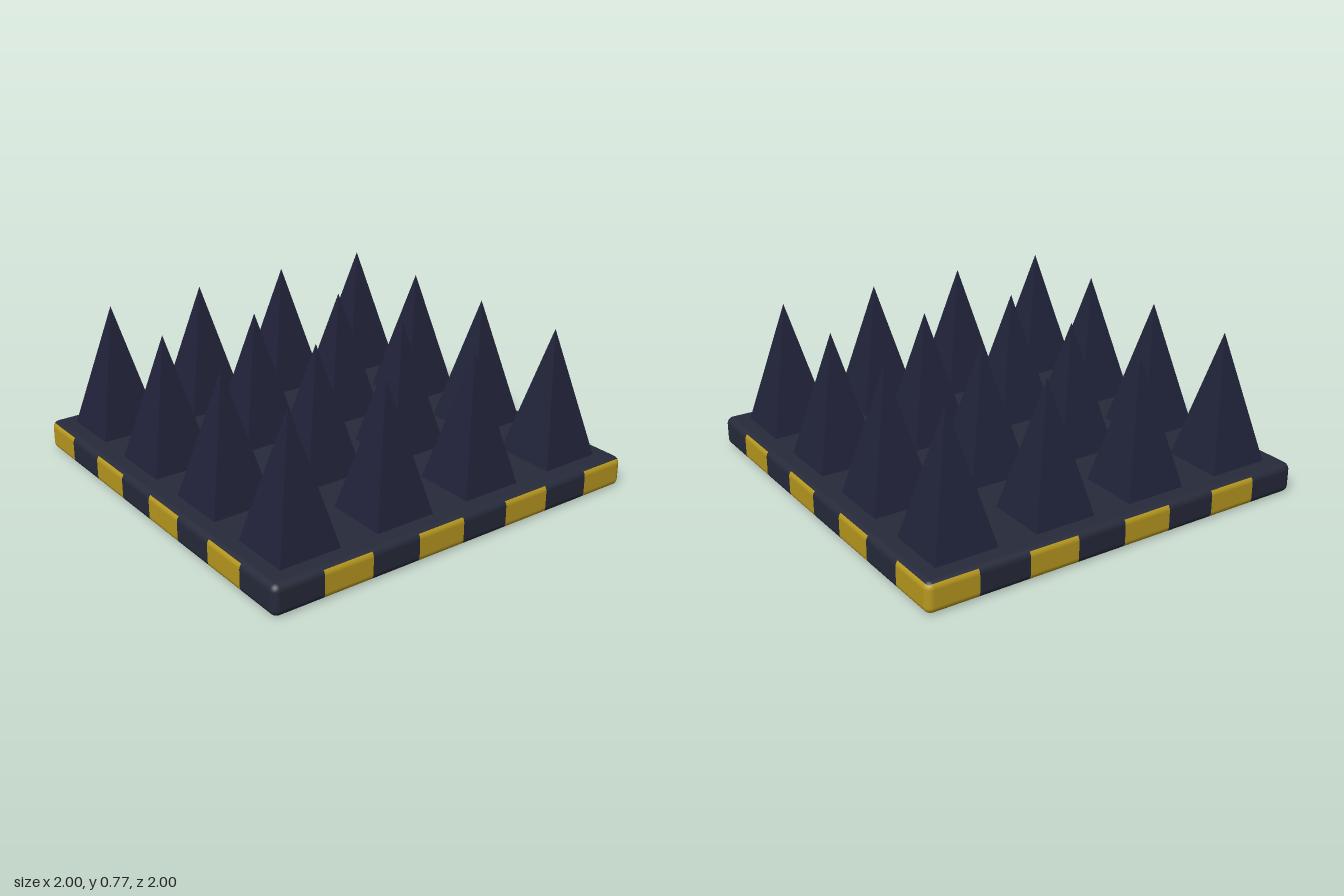
import * as THREE from 'three';

const H = 0.15; // plate thickness
const R = 0.035; // edge rounding
const HALF = new THREE.Vector3(1, H / 2, 1);
const AXES = ['x', 'y', 'z'];

// Grid lines along one axis: a regular division plus extra lines in the rounded rim
function gridLines(half, cells) {
  const lines = [];
  for (let i = 1; i < cells; i++) lines.push(-half + (2 * half * i) / cells);
  for (const t of [0, 0.42, 0.73, 1]) lines.push(-half + R * t, half - R * t);
  return lines.sort((a, b) => a - b);
}

// Hazard pattern: blocks around the rim, stepped diagonal stripes underneath
function isYellow(axis, sign, c) {
  const cell = (v, n) => Math.floor(((v + 1) / 2) * n);
  if (axis === 'y') {
    if (sign > 0) return false;
    return (cell(c.x, 16) - cell(c.z, 16) + 16) % 4 >= 2;
  }
  return axis === 'z' ? cell(c.x, 8) % 2 === 1 : cell(c.z, 8) % 2 === 0;
}

// Pull a point of the box surface onto the rounded box
function roundPoint(p) {
  const inner = new THREE.Vector3(...AXES.map(a =>
    THREE.MathUtils.clamp(p[a], -HALF[a] + R, HALF[a] - R)));
  const normal = p.clone().sub(inner).normalize();
  return { point: inner.addScaledVector(normal, R), normal };
}

// Rounded plate split by colour into two meshes
function createPlate() {
  const lines = { x: gridLines(1, 16), y: gridLines(H / 2, 1), z: gridLines(1, 16) };
  const parts = [0, 1].map(() => ({ position: [], normal: [] }));

  AXES.forEach((axis, k) => {
    const u = AXES[(k + 1) % 3];
    const v = AXES[(k + 2) % 3];
    for (const sign of [-1, 1]) {
      const at = (a, b) => {
        const p = new THREE.Vector3();
        p[axis] = sign * HALF[axis];
        p[u] = a;
        p[v] = b;
        return p;
      };
      for (let i = 0; i < lines[u].length - 1; i++) {
        for (let j = 0; j < lines[v].length - 1; j++) {
          const [a0, a1] = [lines[u][i], lines[u][i + 1]];
          const [b0, b1] = [lines[v][j], lines[v][j + 1]];
          const part = parts[isYellow(axis, sign, at((a0 + a1) / 2, (b0 + b1) / 2)) ? 1 : 0];
          const q = [at(a0, b0), at(a1, b0), at(a1, b1), at(a0, b1)].map(roundPoint);
          for (const n of sign > 0 ? [0, 1, 2, 0, 2, 3] : [0, 2, 1, 0, 3, 2]) {
            part.position.push(...q[n].point.toArray());
            part.normal.push(...q[n].normal.toArray());
          }
        }
      }
    }
  });

  const plate = new THREE.Group();
  plate.name = 'basePlate';
  plate.position.y = H / 2;
  parts.forEach((part, n) => {
    const geometry = new THREE.BufferGeometry();
    for (const key of ['position', 'normal'])
      geometry.setAttribute(key, new THREE.Float32BufferAttribute(part[key], 3));
    const material = new THREE.MeshStandardMaterial({ color: n ? 0xb8991f : 0x262a3a });
    const mesh = new THREE.Mesh(geometry, material);
    mesh.name = n ? 'hazardStripes' : 'plateBody';
    plate.add(mesh);
  });
  return plate;
}

// Four by four field of square pyramids
function createSpikes() {
  const spikes = new THREE.Group();
  spikes.name = 'spikes';
  const height = 0.625;
  const geometry = new THREE.ConeGeometry(0.153 * Math.SQRT2, height, 4, 1, true);
  geometry.rotateY(Math.PI / 4);
  geometry.translate(0, H + height / 2, 0);
  const material = new THREE.MeshStandardMaterial({ color: 0x21233a, flatShading: true });
  for (let i = 0; i < 4; i++) {
    for (let j = 0; j < 4; j++) {
      const spike = new THREE.Mesh(geometry, material);
      spike.name = 'spike';
      spike.position.set(-0.75 + i * 0.5, 0, -0.75 + j * 0.5);
      spikes.add(spike);
    }
  }
  return spikes;
}

export function createModel() {
  const model = new THREE.Group();
  model.name = 'spikeTrap';
  model.add(createPlate(), createSpikes());
  return model;
}
